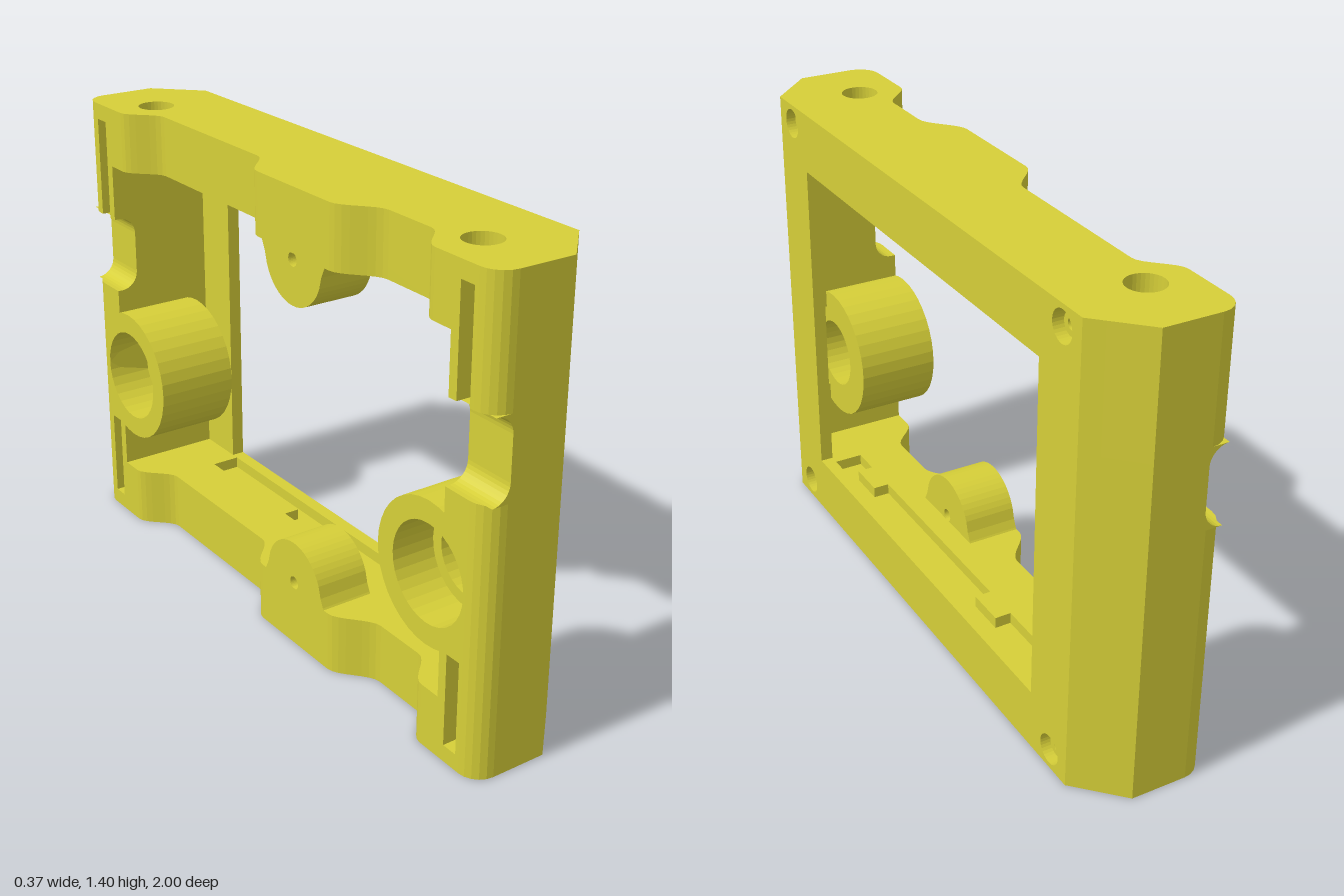
import * as THREE from 'three';

export function createModel() {
  const model = new THREE.Group();
  const mat = new THREE.MeshStandardMaterial({ color: 0xd6cf38 });
  mat.name = 'mustard yellow';
  const V = (x, y) => new THREE.Vector2(x, y);
  const H = 1.4, PLATE = 0.14;

  function add(name, geo) {
    const m = new THREE.Mesh(geo, mat);
    m.name = name;
    model.add(m);
  }
  const circle = (x, y, r) => new THREE.Path().absarc(x, y, r, 0, Math.PI * 2, false);

  // Outline in [x, z] extruded upward from y0 to y1
  function prismY(name, pts, y0, y1, holes = []) {
    const s = new THREE.Shape(pts.map(([x, z]) => V(x, -z)));
    s.holes = holes.map(([x, z, r]) => circle(x, -z, r));
    const g = new THREE.ExtrudeGeometry(s, { depth: y1 - y0, bevelEnabled: false, curveSegments: 16 });
    add(name, g.rotateX(-Math.PI / 2).translate(0, y0, 0));
  }
  // Shape in (-z, y) extruded from x0 to x1
  function prismX(name, shape, x0, x1) {
    const g = new THREE.ExtrudeGeometry(shape, { depth: x1 - x0, bevelEnabled: false, curveSegments: 16 });
    add(name, g.rotateY(Math.PI / 2).translate(x0, 0, 0));
  }

  // Outer chamfer and rounded back corner for the +z end
  function corner() {
    const pts = [[PLATE, 0.91], [0.05, 1], [-0.12, 1]];
    for (let i = 1; i <= 5; i++) {
      const a = (i / 5) * Math.PI / 2;
      pts.push([-0.12 - 0.065 * Math.sin(a), 0.935 + 0.065 * Math.cos(a)]);
    }
    return pts;
  }
  const slotCut = [[-0.185, 0.92], [-0.12, 0.92], [-0.12, 0.87], [-0.185, 0.87]];
  const flip = pts => pts.map(([x, z]) => [x, -z]).reverse();

  // S-shaped step of the rail's back edge
  function step(z0, z1, x0, x1) {
    const pts = [];
    for (let i = 0; i <= 8; i++) {
      const t = i / 8;
      pts.push([x0 + (x1 - x0) * t * t * (3 - 2 * t), z0 + (z1 - z0) * t]);
    }
    return pts;
  }
  function railOutline(slot, groove) {
    const end = [...corner(), ...(slot ? slotCut : [])];
    return [
      ...end,
      ...step(0.77, 0.65, -0.185, -0.1), ...step(0.48, 0.34, -0.1, -0.185),
      ...step(0.0, -0.13, -0.185, -0.1), ...step(-0.65, -0.77, -0.1, -0.185),
      ...flip(end),
      ...(groove ? [[PLATE, -0.66], [0.05, -0.66], [0.05, 0.66], [PLATE, 0.66]] : []),
    ];
  }

  // Top and bottom rails, with end screw holes, back slots and panel groove
  const endHoles = [[-0.05, 0.785, 0.055], [-0.05, -0.785, 0.055]];
  for (const top of [false, true]) {
    const rail = top ? 'topRail' : 'bottomRail';
    const layer = (part, pts, a, b, holes) =>
      prismY(rail + part, pts, top ? H - b : a, top ? H - a : b, holes);
    layer('Outer', railOutline(false, false), 0, 0.05, endHoles);
    layer('Middle', railOutline(true, false), 0.05, 0.15, endHoles);
    layer('Inner', railOutline(true, true), 0.15, 0.185);
    // Panel clips in the groove
    for (const z of [-0.29, 0.51]) {
      const c = new THREE.BoxGeometry(0.05, 0.035, 0.12);
      add('panelClip', c.translate(0.075, top ? H - 0.1675 : 0.1675, z));
    }
    // Rounded lug with a small hole
    const Y = y => (top ? H - y : y);
    const s = new THREE.Shape();
    const pts = [V(-0.325, Y(0.178)), V(-0.317, Y(0.19)), V(-0.305, Y(0.215))];
    for (let i = 0; i <= 18; i++) {
      const a = 0.38 + (Math.PI - 0.76) * i / 18;
      pts.push(V(-0.17 - 0.135 * Math.cos(a), Y(0.2 + 0.135 * Math.sin(a))));
    }
    pts.push(V(-0.035, Y(0.215)), V(-0.023, Y(0.19)), V(-0.015, Y(0.178)));
    s.setFromPoints(pts);
    s.holes.push(circle(-0.17, Y(0.203), 0.02));
    prismX(top ? 'topLug' : 'bottomLug', s, -0.185, -0.02);
  }

  // Side pillars, stacked from sections: slotted, plain, hub clearance, notch
  const inner = 0.84;
  const plain = [...corner(), [-0.185, inner], [PLATE, inner]];
  const slotted = [...corner(), ...slotCut, [-0.185, inner], [PLATE, inner]];
  const clear = [...corner(), [-0.185, 0.925], [PLATE, 0.9]];
  const notched = [[PLATE, 0.91], [0.05, 1], [-0.115, 1], [-0.115, inner], [PLATE, inner]];
  const sections = [
    [slotted, 0.185, 0.33], [plain, 0.33, 0.38], [clear, 0.38, 0.67],
    [plain, 0.67, 0.8], [notched, 0.8, 1.04], [slotted, 1.04, 1.215],
  ];
  for (const side of [1, -1]) {
    const name = side > 0 ? 'frontPillar' : 'rearPillar';
    for (const [pts, a, b] of sections) prismY(name, side > 0 ? pts : flip(pts), a, b);

    // Rounded inner corners of the notch
    for (const [y, d] of [[1.04, -1], [0.8, 1]]) {
      const f = new THREE.Shape();
      f.moveTo(-0.115, y);
      f.lineTo(-0.17, y);
      f.bezierCurveTo(-0.14, y, -0.115, y + d * 0.025, -0.115, y + d * 0.055);
      const g = new THREE.ExtrudeGeometry(f, { depth: 1 - inner, bevelEnabled: false, curveSegments: 8 });
      add('notchFillet', g.translate(0, 0, side > 0 ? inner : -1));
    }
    // Chamfer continuing along the face plate
    const wedge = [[PLATE, 0.87], [0.18, 0.87], [PLATE, 0.91]];
    prismY('plateChamfer', wedge.map(([x, z]) => [x, z * side]), 0, H);

    // Round hub, flattened on the outer side, counterbored from the back
    const hub = r => {
      const pts = [];
      for (let i = 0; i < 36; i++) {
        const a = (i / 36) * Math.PI * 2;
        pts.push(V(-side * Math.min(0.78 + 0.21 * Math.cos(a), 0.934), 0.525 + 0.21 * Math.sin(a)));
      }
      const s = new THREE.Shape(pts);
      s.holes.push(circle(-side * 0.78, 0.525, r));
      return s;
    };
    prismX('hubCounterbore', hub(0.145), -0.185, -0.05);
    prismX('hubLip', hub(0.11), -0.05, 0.07);
  }

  // Face plate with window and four screw recesses
  const rect = (T, z0, z1, y0, y1) => new T([V(-z1, y0), V(-z0, y0), V(-z0, y1), V(-z1, y1)]);
  const plate = rect(THREE.Shape, -0.87, 0.87, 0, H);
  plate.holes.push(rect(THREE.Path, -0.685, 0.69, 0.185, 1.215));
  for (const z of [-0.785, 0.785]) {
    for (const y of [0.06, H - 0.06]) {
      plate.holes.push(circle(-z, y, 0.045));
      const ring = new THREE.Shape().absarc(-z, y, 0.032, 0, Math.PI * 2, false);
      ring.holes.push(circle(-z, y, 0.015));
      prismX('screwSeat', ring, PLATE, PLATE + 0.015);
    }
  }
  prismX('facePlate', plate, PLATE, 0.18);

  return model;
}
